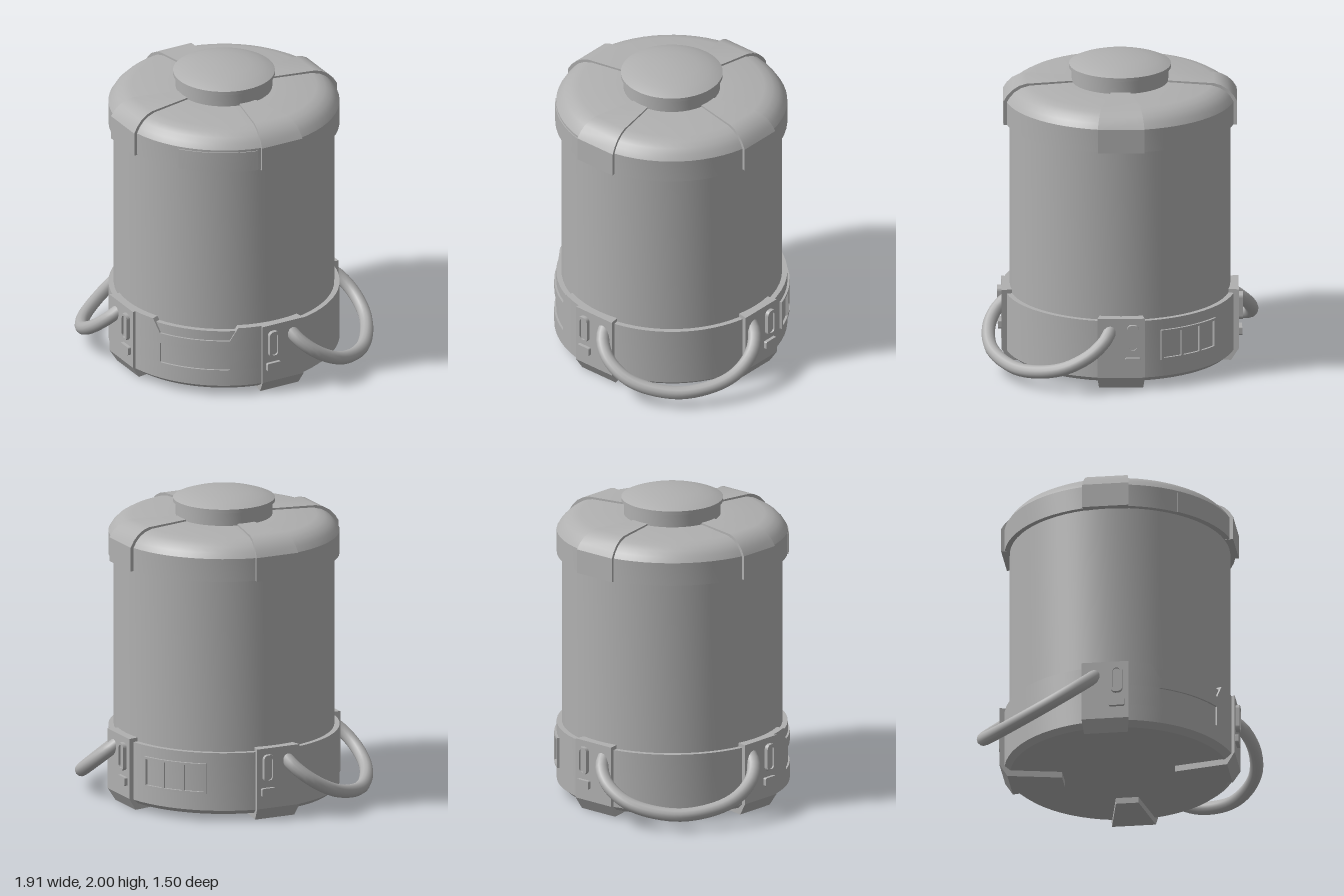
import * as THREE from 'three';
import { toCreasedNormals, mergeGeometries } from 'three/addons/utils/BufferGeometryUtils.js';

const RAD = Math.PI / 180;
const grey = new THREE.MeshStandardMaterial({ color: 0xb0b0b0 });
grey.name = 'plain grey';

function add(parent, name, geometry) {
  const mesh = new THREE.Mesh(geometry, grey);
  mesh.name = name;
  parent.add(mesh);
  return mesh;
}

const vecs = (pts) => pts.map(([x, y]) => new THREE.Vector2(x, y));

// Full turned part; profile is [radius, height], running bottom to top
const turned = (pts) => toCreasedNormals(new THREE.LatheGeometry(vecs(pts), 64), 0.5);

// Solid arc: a closed [radius, height] profile swept from angle a0 to a1 (degrees, 0 = front).
// The optional limit(angle) caps the height along the sweep.
function sector(pts, a0, a1, steps, limit) {
  const geo = new THREE.ExtrudeGeometry(new THREE.Shape(vecs(pts)), { depth: 1, steps, bevelEnabled: false });
  const p = geo.attributes.position;
  for (let i = 0; i < p.count; i++) {
    const r = p.getX(i), deg = a1 - p.getZ(i) * (a1 - a0);
    const y = limit ? Math.min(p.getY(i), limit(deg)) : p.getY(i);
    p.setXYZ(i, r * Math.sin(deg * RAD), y, r * Math.cos(deg * RAD));
  }
  return toCreasedNormals(geo, 0.4);
}

// Curved rectangular bar
const bar = (r0, r1, y0, y1, a0, a1, steps) =>
  sector([[r0, y0], [r1, y0], [r1, y1], [r0, y1]], a0, a1, steps);

// Upright rounded rectangle outline
function roundedRect(w, h, r, Type = THREE.Shape) {
  const s = new Type(), x = w / 2 - r, y = h / 2 - r;
  s.absarc(x, y, r, 0, Math.PI / 2);
  s.absarc(-x, y, r, Math.PI / 2, Math.PI);
  s.absarc(-x, -y, r, Math.PI, Math.PI * 1.5);
  s.absarc(x, -y, r, Math.PI * 1.5, Math.PI * 2);
  s.closePath();
  return s;
}

const slab = (shape, depth) =>
  new THREE.ExtrudeGeometry(shape, { depth, bevelEnabled: false, curveSegments: 6 });

export function createModel() {
  const model = new THREE.Group();
  model.name = 'canister';

  // Drum, base ring and lid
  add(model, 'drum', turned([[0.703, 0.3], [0.703, 1.62]]));
  add(model, 'baseRing', turned([[0, 0.04], [0.7, 0.04], [0.737, 0.07], [0.737, 0.45], [0.7, 0.45]]));
  add(model, 'lid', turned([[0.69, 1.58], [0.737, 1.58], [0.737, 1.73], [0.715, 1.765], [0.685, 1.795],
    [0.645, 1.818], [0.59, 1.832], [0.3, 1.835]]));

  // Neck and domed cap
  add(model, 'neck', turned([[0.308, 1.82], [0.308, 1.93]]));
  add(model, 'cap', turned([[0.3, 1.923], [0.325, 1.923], [0.325, 1.946], [0.305, 1.955], [0.25, 1.974],
    [0.17, 1.989], [0.08, 1.998], [0, 2]]));

  // Thin plate on the front of the lid
  add(model, 'lidPlate', bar(0.73, 0.743, 1.58, 1.715, -8, 32, 10));

  // Front panel with a trapezoid notch in its top edge and a recessed rectangle
  const panel = new THREE.Group();
  panel.name = 'frontPanel';
  model.add(panel);
  const R = 0.749;
  const notch = (deg) => 0.385 + 0.09 * THREE.MathUtils.clamp((Math.abs(deg) - 18) / 4, 0, 1);
  add(panel, 'panelBottom', sector([[0.69, 0.037], [0.707, 0.037], [R, 0.07], [R, 0.18], [0.69, 0.18]], -34, 34, 34));
  add(panel, 'panelTop', sector([[0.69, 0.315], [R, 0.315], [R, 0.475], [0.69, 0.475]], -34, 34, 34, notch));
  for (const s of [-1, 1]) {
    add(panel, 'panelSide', bar(0.69, R, 0.18, 0.315, s * 26 - 8, s * 26 + 8, 8));
  }

  // Back frame with three windows
  const frame = new THREE.Group();
  frame.name = 'backWindowFrame';
  model.add(frame);
  for (const y of [0.18, 0.365]) add(frame, 'frameRail', bar(0.72, 0.752, y, y + 0.015, 155, 189, 12));
  for (let i = 0; i < 4; i++) {
    const a = 155.6 + i * 10.93;
    add(frame, 'framePost', bar(0.72, 0.752, 0.18, 0.38, a - 0.6, a + 0.6, 1));
  }

  // Pill-shaped latch rim, shared by the four lower brackets
  const rim = roundedRect(0.075, 0.18, 0.03);
  rim.holes.push(roundedRect(0.045, 0.15, 0.02, THREE.Path));
  const latch = mergeGeometries([slab(rim, 0.03), slab(roundedRect(0.05, 0.155, 0.02), 0.018)]);

  // Four flat-faced brackets on the lid and on the base
  const lidBracket = [[0.31, 1.8], [0.6, 1.8], [0.69, 1.7], [0.69, 1.578], [0.76, 1.578], [0.76, 1.735],
    [0.735, 1.775], [0.7, 1.81], [0.655, 1.835], [0.61, 1.846], [0.31, 1.846]];
  const baseBracket = [[0.37, 0], [0.72, 0], [0.771, 0.08], [0.771, 0.475], [0.69, 0.475], [0.69, 0.05], [0.37, 0.05]];
  [45, 135, 225, 315].forEach((a, i) => {
    add(model, 'lidBracket', sector(lidBracket, a - 11.3, a + 11.3, 1));
    add(model, 'baseBracket', sector(baseBracket, a - 11.3, a + 11.3, 1));

    const fittings = new THREE.Group();
    fittings.name = 'bracketFittings';
    fittings.rotation.y = a * RAD;
    model.add(fittings);
    const x = i % 2 ? 0.075 : -0.075;
    add(fittings, 'latch', latch).position.set(x, 0.345, 0.752);
    add(fittings, 'button', slab(roundedRect(0.1, 0.056, 0.01), 0.026)).position.set(x, 0.188, 0.752);
  });

  // Drooping side handles
  for (const s of [-1, 1]) {
    const half = [[0.54, 0.455], [0.62, 0.485], [0.71, 0.465], [0.79, 0.4], [0.85, 0.31], [0.895, 0.17]];
    const plan = [...half, [0.915, 0], ...half.map(([x, z]) => [x, -z]).reverse()];
    const path = new THREE.CatmullRomCurve3(
      plan.map(([x, z]) => new THREE.Vector3(s * x, 0.37 - (x - 0.59) * 0.82, z)));
    add(model, s > 0 ? 'leftHandle' : 'rightHandle', new THREE.TubeGeometry(path, 40, 0.043, 12));
  }
  return model;
}
